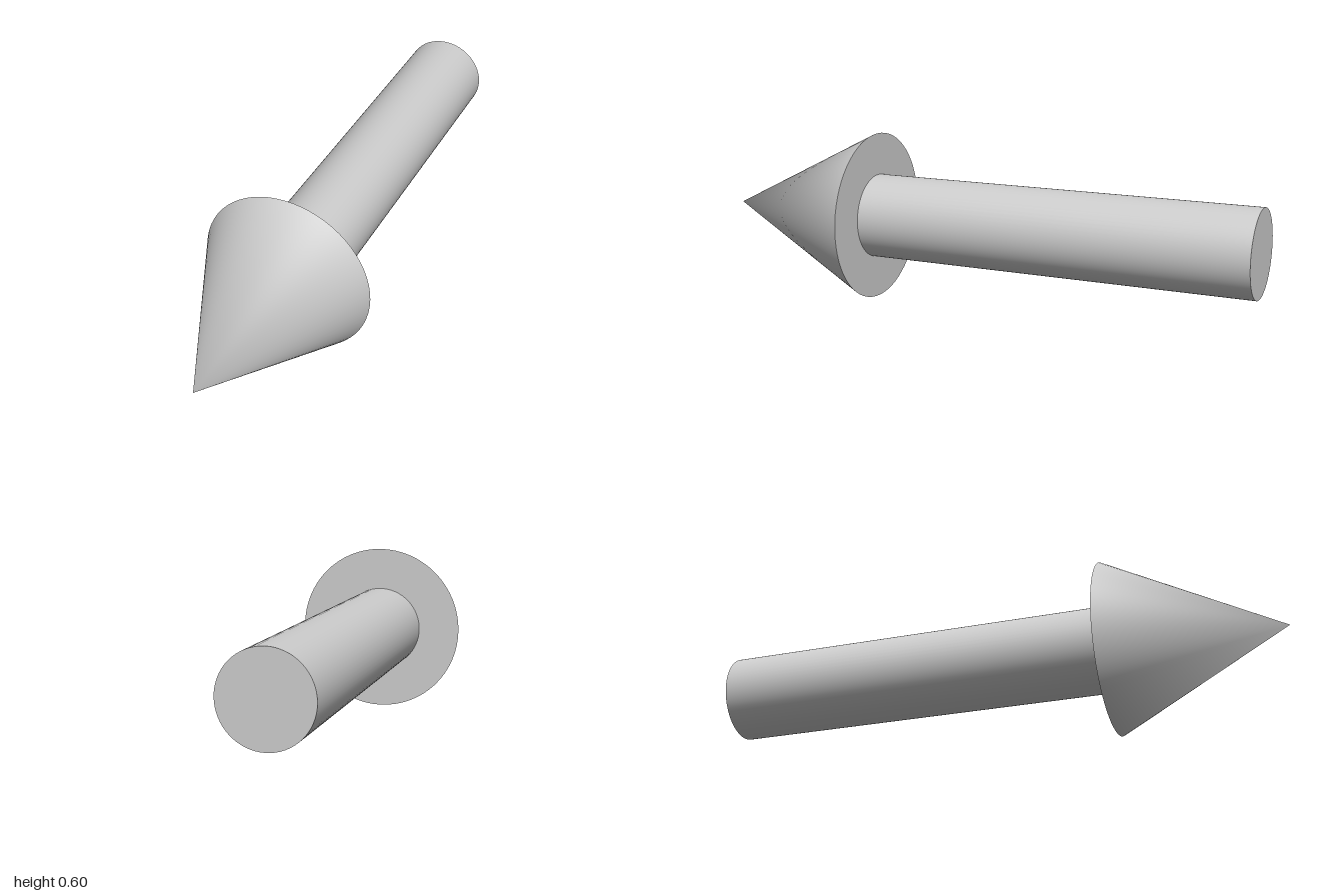
import * as THREE from 'three';

const SEGMENTS = 64;
const AXIS_HEIGHT = 0.3;
const SHOULDER_Z = 0.4; // where the shaft meets the head

export function createModel() {
  const group = new THREE.Group();
  const material = new THREE.MeshStandardMaterial({ color: 0xcccccc });

  // Lays a geometry built along y onto the z axis, spanning zBack to zFront
  function addAlongZ(name, geometry, zBack, zFront) {
    geometry.rotateX(Math.PI / 2);
    const mesh = new THREE.Mesh(geometry, material);
    mesh.name = name;
    mesh.position.set(0, AXIS_HEIGHT, (zBack + zFront) / 2);
    group.add(mesh);
  }

  // Round shaft, capped at the back
  const shaft = new THREE.CylinderGeometry(0.15, 0.15, SHOULDER_Z + 1, SEGMENTS);
  addAlongZ('shaft', shaft, -1, SHOULDER_Z);

  // Conical head with a flat back; the tip shares one forward normal for soft shading
  const head = new THREE.ConeGeometry(0.3, 1 - SHOULDER_Z, SEGMENTS);
  for (let i = 0; i <= SEGMENTS; i++) head.attributes.normal.setXYZ(i, 0, 1, 0);
  addAlongZ('arrowHead', head, SHOULDER_Z, 1);

  return group;
}
